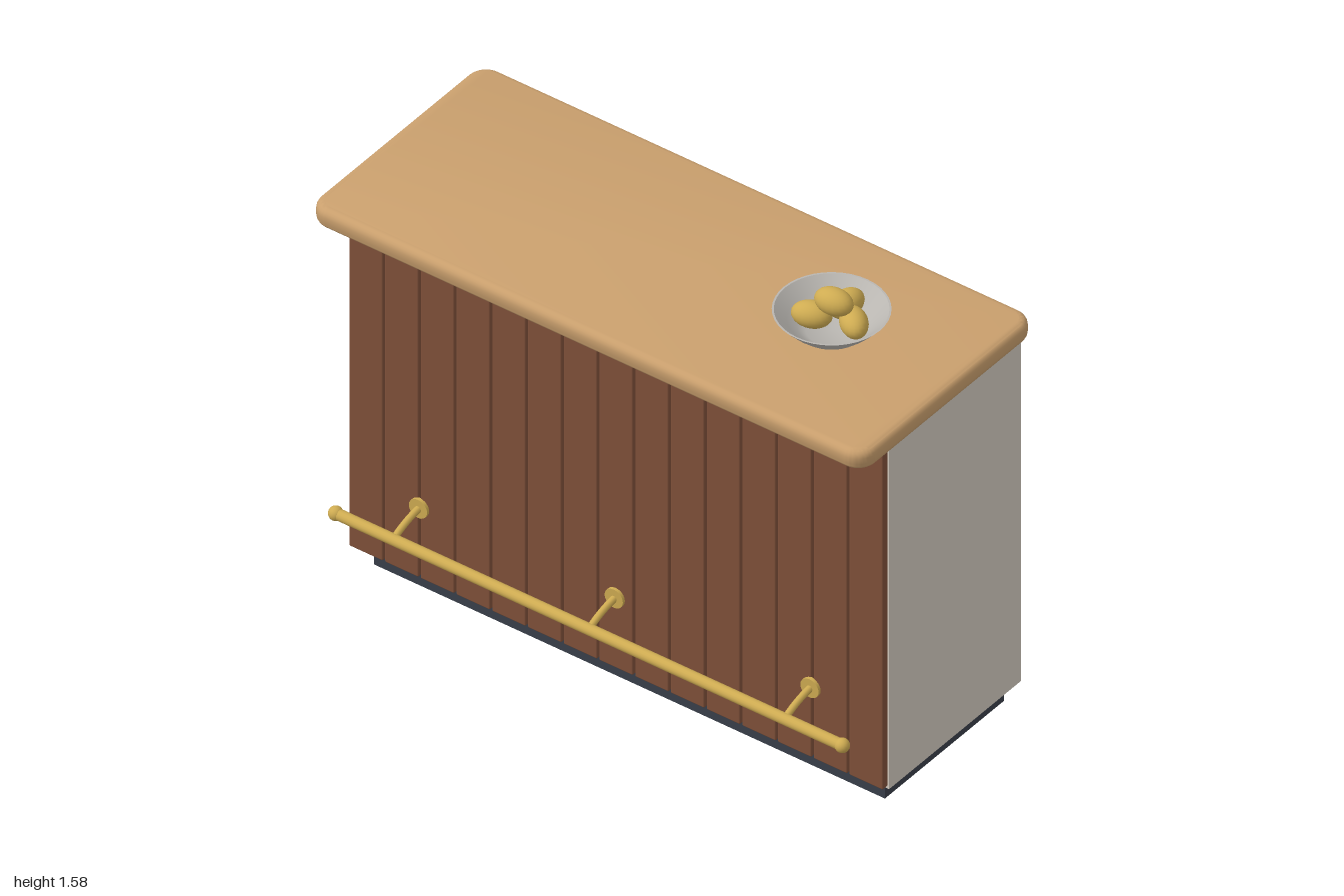
import * as THREE from 'three';
import { toCreasedNormals } from 'three/addons/utils/BufferGeometryUtils.js';
import { RoundedBoxGeometry } from 'three/addons/geometries/RoundedBoxGeometry.js';

const material = (name, color, extra = {}) =>
  Object.assign(new THREE.MeshStandardMaterial({ color, ...extra }), { name });

export function createModel() {
  const open = { side: THREE.DoubleSide };
  const mats = {
    oak: material('oak', 0xc99f6d),
    walnut: material('walnut', 0x80513a),
    cream: material('cream paint', 0xd3cbbf),
    slate: material('slate', 0x3a404a),
    brass: material('brass', 0xcfac52),
    metal: material('bowl metal', 0xb9b6b1, open),
    glass: material('tumbler glass', 0xcdc8c0, open),
    green: material('green bottle', 0x93b28c),
    purple: material('purple bottle', 0xa491d2),
    orange: material('orange bottle', 0xd99a76),
  };
  const model = new THREE.Group();
  model.name = 'barCounter';

  const add = (parent, name, geometry, mat, x = 0, y = 0, z = 0) => {
    const mesh = new THREE.Mesh(geometry, mat);
    mesh.name = name;
    mesh.position.set(x, y, z);
    parent.add(mesh);
    return mesh;
  };
  const group = (name) => {
    const g = new THREE.Group();
    g.name = name;
    model.add(g);
    return g;
  };
  // Box given by its limits on each axis
  const box = (parent, name, mat, [x0, x1], [y0, y1], [z0, z1]) =>
    add(parent, name, new THREE.BoxGeometry(x1 - x0, y1 - y0, z1 - z0), mat,
      (x0 + x1) / 2, (y0 + y1) / 2, (z0 + z1) / 2);
  const lathe = (points, segments = 24) => toCreasedNormals(
    new THREE.LatheGeometry(points.map(([r, y]) => new THREE.Vector2(r, y)), segments), 0.7);

  // Countertop: rounded plan with a soft edge
  const bevel = 0.025, w = 1 - bevel, d = 0.42 - bevel, r = 0.04;
  const plan = new THREE.Shape();
  plan.absarc(w - r, d - r, r, 0, Math.PI / 2);
  plan.absarc(-w + r, d - r, r, Math.PI / 2, Math.PI);
  plan.absarc(-w + r, -d + r, r, Math.PI, Math.PI * 1.5);
  plan.absarc(w - r, -d + r, r, Math.PI * 1.5, Math.PI * 2);
  plan.closePath();
  const top = new THREE.ExtrudeGeometry(plan, {
    depth: 0.07 - 2 * bevel, bevelSize: bevel, bevelThickness: bevel, bevelSegments: 5, curveSegments: 8,
  });
  top.rotateX(-Math.PI / 2);
  add(model, 'countertop', toCreasedNormals(top, 0.6), mats.oak, 0, 1.345 + bevel, 0);

  // Plinth
  box(model, 'plinth', mats.slate, [-0.92, 0.92], [0, 0.08], [-0.37, 0.205]);

  // Cabinet, open at the back
  const cabinet = group('cabinet');
  for (const s of [-1, 1]) {
    box(cabinet, 'sidePanel', mats.cream, s < 0 ? [-0.965, -0.935] : [0.935, 0.965], [0.08, 1.345], [-0.39, 0.245]);
  }
  box(cabinet, 'frontPanel', mats.cream, [-0.935, 0.935], [0.08, 1.345], [0.22, 0.245]);
  box(cabinet, 'floorPanel', mats.cream, [-0.935, 0.935], [0.08, 0.108], [-0.385, 0.22]);
  box(cabinet, 'divider', mats.cream, [-0.013, 0.013], [0.108, 1.345], [-0.38, 0.22]);
  const shelfTops = [0.495, 0.915];
  for (const y of shelfTops) {
    for (const s of [-1, 1]) {
      box(cabinet, 'shelf', mats.cream, s < 0 ? [-0.935, -0.013] : [0.013, 0.935], [y - 0.025, y], [-0.372, 0.22]);
    }
  }

  // Front cladding of vertical planks
  const cladding = group('frontCladding');
  const count = 15, pitch = 1.93 / count;
  const plank = new RoundedBoxGeometry(pitch - 0.007, 1.246, 0.027, 2, 0.005);
  for (let i = 0; i < count; i++) {
    add(cladding, 'plank', plank, mats.walnut, (i - (count - 1) / 2) * pitch, 0.713, 0.2575);
  }

  // Foot rail with curved brackets
  const rail = group('footRail');
  const bar = new THREE.CylinderGeometry(0.018, 0.018, 1.83, 16).rotateZ(Math.PI / 2);
  add(rail, 'railBar', bar, mats.brass, 0, 0.312, 0.4);
  for (const x of [-0.912, 0.912]) {
    add(rail, 'railEnd', new THREE.SphereGeometry(0.023, 16, 12), mats.brass, x, 0.312, 0.4);
  }
  const arm = new THREE.QuadraticBezierCurve3(
    new THREE.Vector3(0, 0.35, 0.265), new THREE.Vector3(0, 0.345, 0.34), new THREE.Vector3(0, 0.312, 0.4));
  const armGeometry = new THREE.TubeGeometry(arm, 10, 0.011, 10);
  const flange = new THREE.CylinderGeometry(0.033, 0.033, 0.012, 20).rotateX(Math.PI / 2);
  for (const x of [-0.705, 0, 0.705]) {
    add(rail, 'bracketArm', armGeometry, mats.brass, x);
    add(rail, 'bracketFlange', flange, mats.brass, x, 0.35, 0.275);
  }

  // Bottles and tumblers on the shelves, listed from the divider outwards
  const bottle = lathe([[0, 0], [0.043, 0], [0.045, 0.006], [0.045, 0.155], [0.041, 0.178], [0.028, 0.203],
    [0.017, 0.225], [0.014, 0.25], [0.014, 0.285], [0.018, 0.287], [0.018, 0.302], [0, 0.302]]);
  const tumbler = lathe([[0, 0], [0.034, 0], [0.043, 0.125], [0.038, 0.125], [0.031, 0.01], [0, 0.01]]);
  const stock = group('shelfStock');
  const kinds = { g: 'green', p: 'purple', o: 'orange' };
  const rows = [
    [1, shelfTops[1], ' tpggpg'], [1, shelfTops[0], ' gtpotp'],
    [-1, shelfTops[1], 'totoptt'], [-1, shelfTops[0], 'ttppotp'],
  ];
  for (const [side, y, items] of rows) {
    [...items].forEach((kind, i) => {
      const x = side * (0.05 + 0.122 * i);
      const z = -0.17 + 0.02 * Math.sin(i * 2.3 + y * 9);
      if (kind === 't') add(stock, 'tumbler', tumbler, mats.glass, x, y, z);
      else if (kinds[kind]) add(stock, 'bottle', bottle, mats[kinds[kind]], x, y, z);
    });
  }

  // Fruit bowl
  const bowl = group('fruitBowl');
  bowl.position.set(0.575, 1.415, 0);
  add(bowl, 'bowl', lathe([[0, 0], [0.078, 0], [0.105, 0.018], [0.135, 0.045], [0.173, 0.086],
    [0.167, 0.086], [0.13, 0.051], [0.1, 0.024], [0.075, 0.009], [0, 0.009]], 40), mats.metal);
  const fruit = new THREE.SphereGeometry(0.042, 20, 14).scale(1.48, 1, 1);
  const fruits = [[-0.055, 0.055, 0.022, 0.35], [0.0, 0.062, -0.072, 1.45],
    [0.065, 0.055, -0.02, -0.7], [0.012, 0.122, 0.005, 0.1]];
  for (const [x, y, z, turn] of fruits) {
    add(bowl, 'fruit', fruit, mats.brass, x, y, z).rotation.y = turn;
  }
  return model;
}
